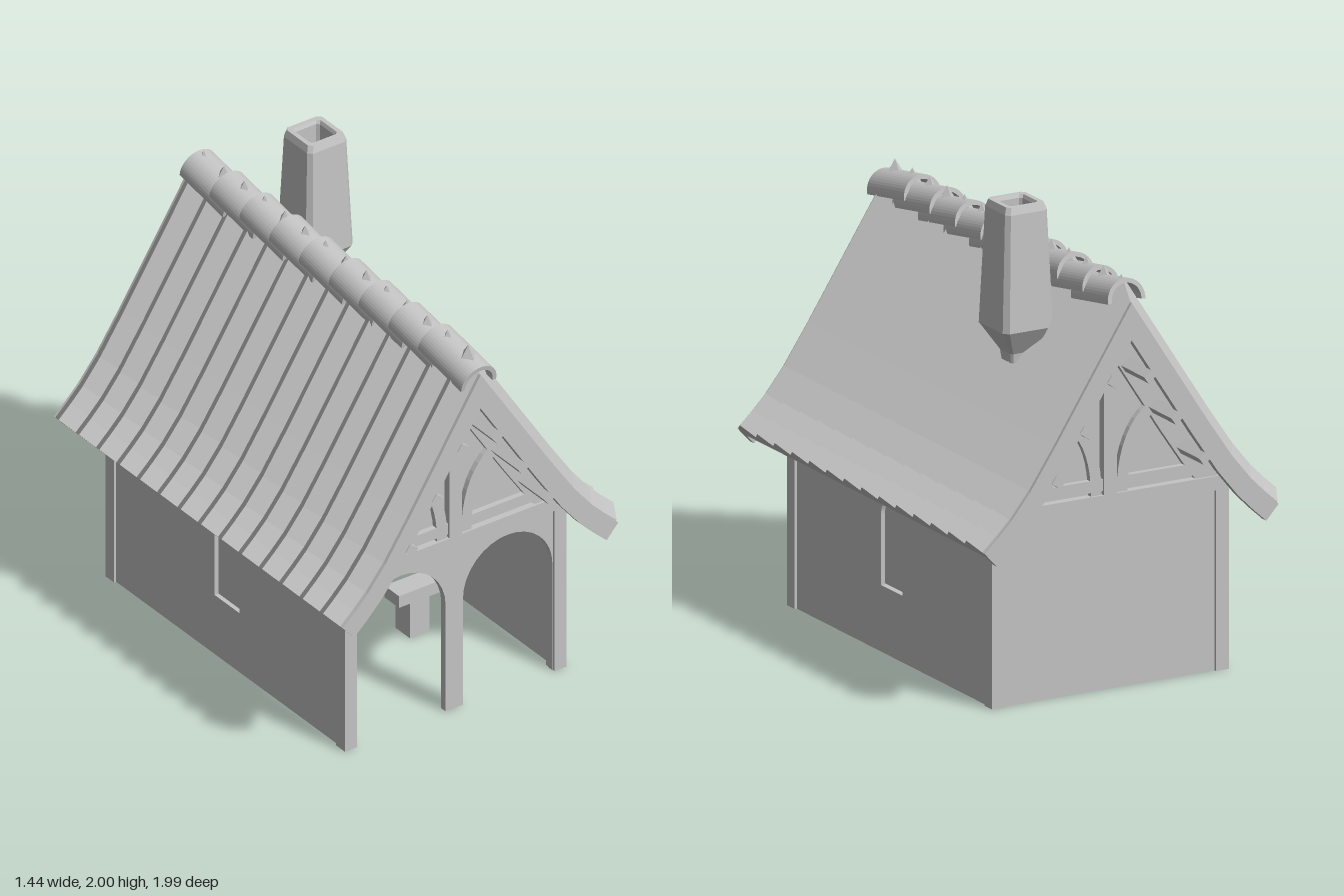
import * as THREE from 'three';

// Roof profile (ridge to eave) on the +x side
const PROFILE = [[0, 1.77], [0.2, 1.46], [0.4, 1.15], [0.515, 0.98], [0.6, 0.875], [0.66, 0.815], [0.72, 0.76]];

// Moves a polyline sideways by d; points on x = 0 stay on the centre plane
function offset(pts, d) {
  return pts.map((p, i) => {
    const a = pts[Math.max(0, i - 1)], b = pts[Math.min(pts.length - 1, i + 1)];
    const dx = b[0] - a[0], dy = b[1] - a[1], l = Math.hypot(dx, dy);
    const nx = -dy / l, ny = dx / l;
    return p[0] === 0 ? [0, p[1] + d / ny] : [p[0] + nx * d, p[1] + ny * d];
  });
}

const band = (pts, d1, d2) => [...offset(pts, d1), ...offset(pts, d2).reverse()];
const mirrored = (pts, s) => pts.map(([x, y]) => [x * s, y]);
const toShape = (pts) => new THREE.Shape(pts.map(([x, y]) => new THREE.Vector2(x, y)));

// Outline with a round-arched top
function archPoints(cx, halfWidth, bottom, top) {
  const spring = top - halfWidth, pts = [[cx - halfWidth, bottom], [cx + halfWidth, bottom]];
  for (let i = 0; i <= 16; i++) {
    const a = (i / 16) * Math.PI;
    pts.push([cx + Math.cos(a) * halfWidth, spring + Math.sin(a) * halfWidth]);
  }
  return pts;
}

// Corrugated roof slope: zigzag top, flat underside, closed edges
function roofSlope(s) {
  const cols = 28, zEnd = 0.975, depth = 0.09, pos = [];
  const ridge = PROFILE, valley = offset(PROFILE, -0.05), under = offset(PROFILE, -depth);
  const z = (j) => -zEnd + (2 * zEnd * j) / cols;
  const top = (i, j) => [...(j % 2 ? ridge : valley)[i], z(j)];
  const low = (i, j) => [...under[i], z(j)];
  const quad = (a, b, c, d) => {
    const order = s > 0 ? [a, b, c, a, c, d] : [a, c, b, a, d, c];
    order.forEach((p) => pos.push(p[0] * s, p[1], p[2]));
  };
  const n = PROFILE.length - 1;
  for (let j = 0; j < cols; j++) {
    for (let i = 0; i < n; i++) {
      quad(top(i, j), top(i, j + 1), top(i + 1, j + 1), top(i + 1, j));
      quad(low(i, j), low(i + 1, j), low(i + 1, j + 1), low(i, j + 1));
    }
    quad(top(n, j), top(n, j + 1), low(n, j + 1), low(n, j));
  }
  for (let i = 0; i < n; i++) {
    quad(top(i, cols), low(i, cols), low(i + 1, cols), top(i + 1, cols));
    quad(top(i, 0), top(i + 1, 0), low(i + 1, 0), low(i, 0));
  }
  const g = new THREE.BufferGeometry();
  g.setAttribute('position', new THREE.Float32BufferAttribute(pos, 3));
  g.computeVertexNormals();
  return g;
}

// Hollow square stack with cut corners, from rings of [half width, y]
function chimneyGeometry() {
  const rings = [[0.045, 1.33], [0.05, 1.37], [0.117, 1.48], [0.097, 1.97], [0.087, 2], [0.067, 2], [0.06, 1.985], [0.06, 1.7], [0.001, 1.7]];
  const pos = [];
  const point = ([h, y], k) => {
    const c = h * 0.82, o = [[h, c], [c, h], [-c, h], [-h, c], [-h, -c], [-c, -h], [c, -h], [h, -c]][k % 8];
    return [o[0], y, o[1]];
  };
  for (let r = 0; r < rings.length - 1; r++) {
    for (let k = 0; k < 8; k++) {
      const a = point(rings[r], k), b = point(rings[r], k + 1), c = point(rings[r + 1], k + 1), d = point(rings[r + 1], k);
      pos.push(...a, ...c, ...b, ...a, ...d, ...c);
    }
  }
  const g = new THREE.BufferGeometry();
  g.setAttribute('position', new THREE.Float32BufferAttribute(pos, 3));
  g.computeVertexNormals();
  return g;
}

export function createModel() {
  const model = new THREE.Group();
  model.name = 'workshop';
  const grey = new THREE.MeshStandardMaterial({ color: 0xc4c4c4, side: THREE.DoubleSide });
  grey.name = 'plain grey';

  const add = (name, geometry, x = 0, y = 0, z = 0) => {
    const m = new THREE.Mesh(geometry, grey);
    m.name = name;
    m.position.set(x, y, z);
    model.add(m);
    return m;
  };
  // Box given by its limits
  const box = (name, x0, x1, y0, y1, z0, z1) =>
    add(name, new THREE.BoxGeometry(x1 - x0, y1 - y0, z1 - z0), (x0 + x1) / 2, (y0 + y1) / 2, (z0 + z1) / 2);
  // Plate in the xy plane between two z values
  const plate = (name, shape, z0, z1) =>
    add(name, new THREE.ExtrudeGeometry(shape, { depth: z1 - z0, bevelEnabled: false }), 0, 0, z0);

  // Side walls with arched windows and inset panes
  for (const s of [1, -1]) {
    const wall = toShape([[-0.79, 0], [0.79, 0], [0.79, 0.8], [-0.79, 0.8]]);
    wall.holes.push(new THREE.Path(archPoints(0, 0.085, 0.28, 0.665).map(([x, y]) => new THREE.Vector2(x, y))));
    const sidePlate = (name, shape, thick) => {
      const g = new THREE.ExtrudeGeometry(shape, { depth: thick, bevelEnabled: false });
      g.translate(0, 0, -thick / 2);
      g.rotateY(Math.PI / 2);
      add(name, g, s * 0.525, 0, 0);
    };
    sidePlate('sideWall', wall, 0.03);
    sidePlate('windowPane', toShape(archPoints(0, 0.073, 0.29, 0.65)), 0.01);
    for (const z of [0.79, -0.79]) {
      box('cornerPost', s * 0.52 - 0.03, s * 0.52 + 0.03, 0, 0.8, z - 0.03, z + 0.03);
    }
  }

  // Back wall and arched front wall
  box('backWall', -0.5, 0.5, 0, 0.78, -0.81, -0.78);
  const right = [], left = [];
  for (const [x, y] of archPoints(0.265, 0.222, 0, 0.725).slice(2)) right.push([x, y]);
  for (const [x, y] of right) left.push([-x, y]);
  const front = toShape([
    [-0.5, 0], ...[...left].slice(0, 1).map(([x]) => [x, 0]), ...left, [-0.043, 0],
    [0.043, 0], ...[...right].reverse(), [0.487, 0], [0.5, 0], [0.5, 0.78], [-0.5, 0.78],
  ]);
  plate('archedFrontWall', front, 0.78, 0.81);

  // Gables with timber framing, purlins and bargeboards at both ends
  const brace = new THREE.QuadraticBezierCurve(
    new THREE.Vector2(0.06, 0.82), new THREE.Vector2(0.06, 1.08), new THREE.Vector2(0.22, 1.17),
  ).getPoints(10).map((p) => [p.x, p.y]);
  for (const e of [1, -1]) {
    const range = (a, b) => (e > 0 ? [a, b] : [-b, -a]);
    const timber = range(0.77, 0.81);
    plate('gablePanel', toShape([[-0.54, 0.76], [0.54, 0.76], [0.52, 0.82], [0, 1.56], [-0.52, 0.82]]), ...range(0.76, 0.785));
    box('tieBeam', -0.55, 0.55, 0.76, 0.82, ...range(0.76, 0.82));
    box('collarBeam', -0.44, 0.44, 0.835, 0.885, ...timber);
    box('kingPost', -0.03, 0.03, 0.82, 1.52, ...range(0.77, 0.82));
    for (const s of [1, -1]) {
      plate('curvedBrace', toShape(mirrored(band(brace, -0.025, 0.025), s)), ...timber);
      plate('gableRafter', toShape(mirrored(band(PROFILE.slice(0, 5), -0.08, -0.19), s)), ...timber);
      plate('bargeboard', toShape(mirrored(band(PROFILE, -0.055, -0.14), s)), ...range(0.955, 0.99));
      for (const [x, y] of [[0.085, 1.35], [0.212, 1.157], [0.342, 0.967]]) {
        const [z0, z1] = range(0.77, 0.995);
        box('purlinEnd', s * x - 0.025, s * x + 0.025, y - 0.018, y + 0.018, z0, z1).rotation.z = s * 0.62;
      }
    }
  }

  // Corrugated roof
  for (const s of [1, -1]) add('roofSlope', roofSlope(s));

  // Overlapping ridge tiles, each tilted up towards the back
  const arc = new THREE.Shape();
  arc.absarc(0, 0, 0.087, -0.1, Math.PI + 0.1, false);
  arc.absarc(0, 0, 0.068, Math.PI + 0.1, -0.1, true);
  const tile = new THREE.ExtrudeGeometry(arc, { depth: 0.3, bevelEnabled: false, curveSegments: 12 });
  tile.translate(0, 0, -0.15);
  for (let i = 0; i < 9; i++) {
    add('ridgeTile', tile, 0, 1.648, 0.83 - i * 0.204).rotation.x = 0.17;
  }

  add('chimney', chimneyGeometry(), 0.235, 0, -0.468);

  // Hearth, anvil and open bucket inside
  box('hearth', -0.42, 0.05, 0, 0.24, -0.78, -0.4);
  box('hearthSlab', -0.34, -0.04, 0.24, 0.262, -0.74, -0.45);
  box('anvilStand', 0.165, 0.26, 0, 0.17, 0.18, 0.28);
  box('anvilTop', 0.11, 0.315, 0.165, 0.22, 0.18, 0.28);
  box('bucketBase', -0.4, -0.23, 0, 0.015, 0.22, 0.39);
  for (const s of [1, -1]) {
    box('bucketSide', -0.315 + s * 0.077 - 0.008, -0.315 + s * 0.077 + 0.008, 0, 0.14, 0.22, 0.39);
    box('bucketEnd', -0.4, -0.23, 0, 0.14, 0.305 + s * 0.077 - 0.008, 0.305 + s * 0.077 + 0.008);
  }
  return model;
}
